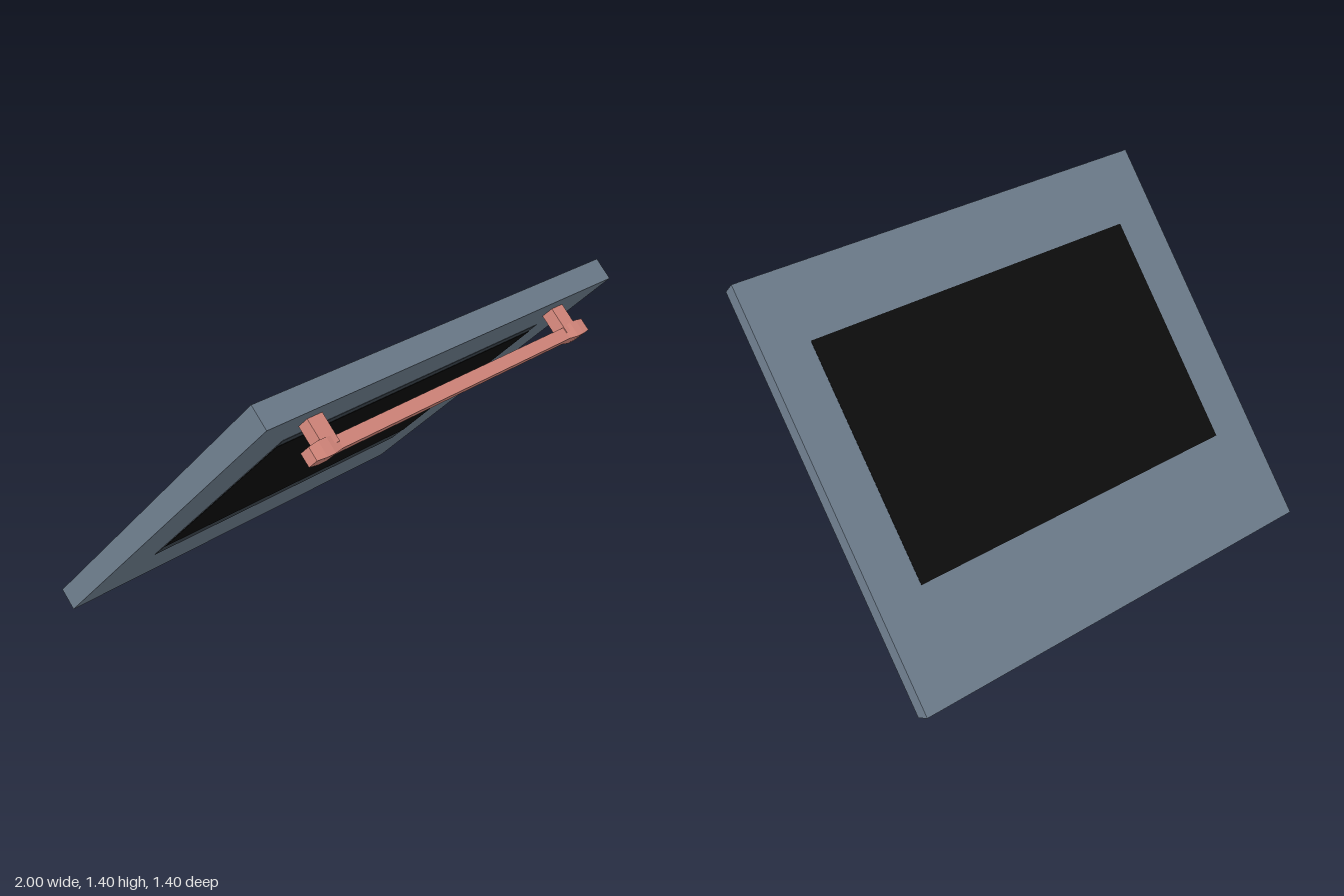
import * as THREE from 'three';

export function createModel() {
  const model = new THREE.Group();
  model.name = 'ovenDoor';

  const mat = (color) => new THREE.MeshStandardMaterial({ color, flatShading: true });
  const steel = mat(0x708090);
  const smoked = mat(0x3e4750);
  const black = mat(0x0d0d0d);
  const salmon = mat(0xdc8c80);

  // Door space: y runs up the panel from its bottom edge, z points out of its front face
  const door = new THREE.Group();
  door.name = 'door';
  door.rotation.x = 0.7685;
  door.position.z = -0.63;
  model.add(door);

  const THICK = 0.1;

  // Box given by its half width, its span along the panel and its span in depth
  function slab(name, material, halfX, y0, y1, z0, z1, x = 0) {
    const mesh = new THREE.Mesh(new THREE.BoxGeometry(halfX * 2, y1 - y0, z1 - z0), material);
    mesh.position.set(x, (y0 + y1) / 2, (z0 + z1) / 2);
    mesh.name = name;
    door.add(mesh);
    return mesh;
  }

  // Panel with its inner and outer windows
  slab('panel', steel, 1, 0, 1.85, -THICK, 0);
  slab('windowSurround', smoked, 0.755, 0.419, 1.58, -0.01, 0.002);
  slab('outerWindow', black, 0.755, 0.516, 1.527, -0.01, 0.004);
  slab('innerWindow', black, 0.797, 0.472, 1.535, -THICK - 0.002, -THICK + 0.01);

  // Square handle bar, thicker where the standoffs meet it
  const half = [[0.0375, 0.68], [0.047, 0.725], [0.047, 0.765], [0.04, 0.81], [0, 0.81]];
  const profile = [
    ...half.map(([r, x]) => new THREE.Vector2(r, -x)).reverse(),
    ...half.map(([r, x]) => new THREE.Vector2(r, x)),
  ];
  const barGeometry = new THREE.LatheGeometry(profile, 4, Math.PI / 4);
  barGeometry.rotateZ(Math.PI / 2);
  const bar = new THREE.Mesh(barGeometry, salmon);
  bar.name = 'handleBar';
  bar.position.set(0, 1.727, 0.118);
  door.add(bar);

  // Standoffs joining the bar to the panel
  for (const side of [-1, 1]) {
    slab(side > 0 ? 'leftStandoff' : 'rightStandoff', salmon, 0.037, 1.695, 1.757, -0.005, 0.118, side * 0.716);
  }

  return model;
}
